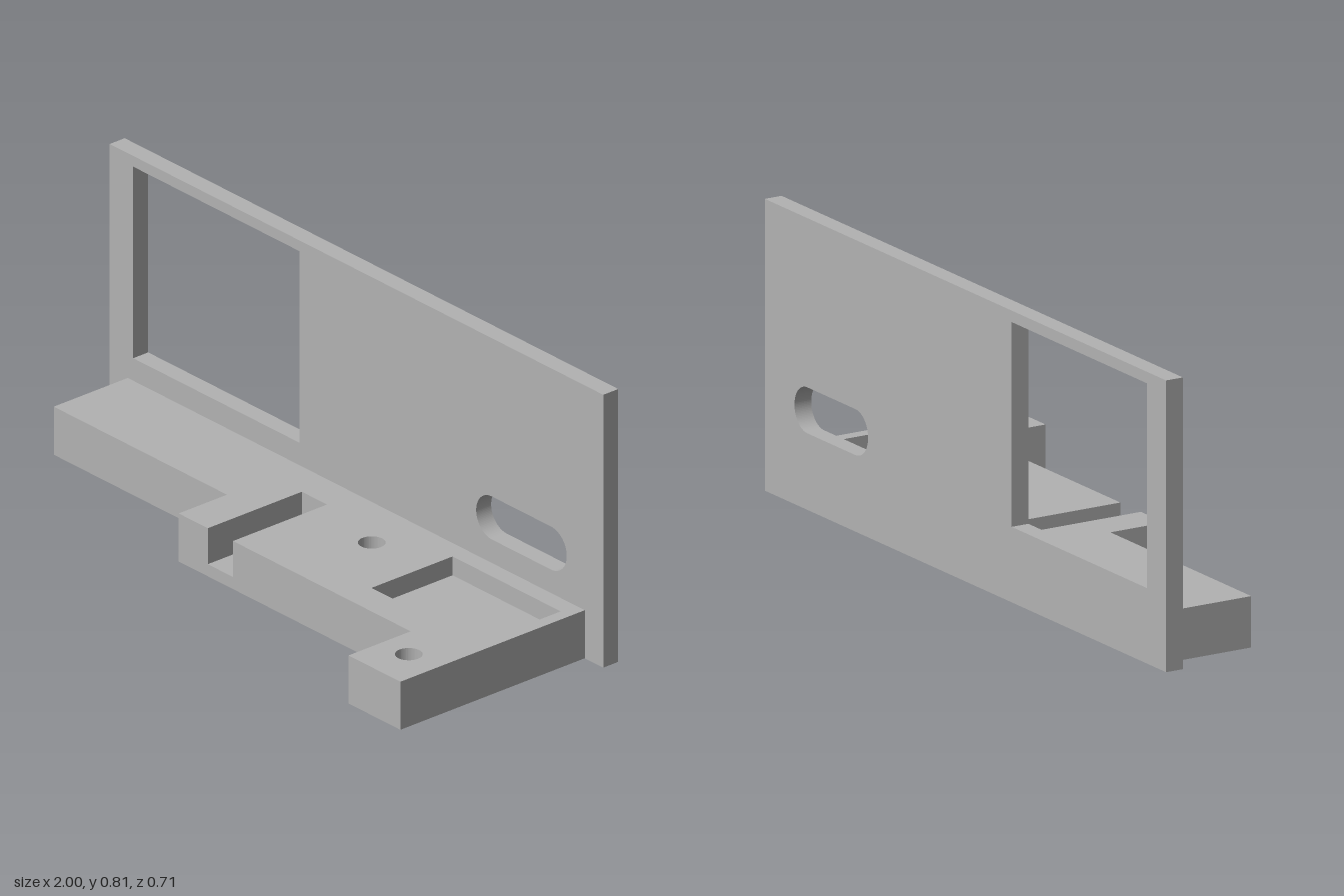
import * as THREE from 'three';

const BACK = -0.353, PLATE_FRONT = -0.3, FRONT = 0.353;

// Closed path from [x, y] points
function trace(path, points) {
  path.setFromPoints(points.map(([x, y]) => new THREE.Vector2(x, y)));
  path.closePath();
  return path;
}

const rectangle = (x0, y0, x1, y1) =>
  trace(new THREE.Path(), [[x0, y0], [x1, y0], [x1, y1], [x0, y1]]);

function circle(x, y, r) {
  const path = new THREE.Path();
  path.absarc(x, y, r, 0, Math.PI * 2, false);
  return path;
}

// Rounded slot lying along x
function roundedSlot(x0, x1, y, r) {
  const path = new THREE.Path();
  path.absarc(x1 - r, y, r, -Math.PI / 2, Math.PI / 2, false);
  path.absarc(x0 + r, y, r, Math.PI / 2, Math.PI * 1.5, false);
  path.closePath();
  return path;
}

const extrude = (shape, depth) =>
  new THREE.ExtrudeGeometry(shape, { depth, bevelEnabled: false, curveSegments: 24 });

export function createModel() {
  const group = new THREE.Group();
  const grey = new THREE.MeshStandardMaterial({ color: 0xb2b2b2 });
  grey.name = 'plain grey';

  const add = (name, geometry) => {
    const mesh = new THREE.Mesh(geometry, grey);
    mesh.name = name;
    group.add(mesh);
  };

  // Upright panel with a square window and a rounded slot
  const panel = trace(new THREE.Shape(), [[-1, 0], [1, 0], [1, 0.812], [-1, 0.812]]);
  panel.holes.push(
    rectangle(-0.905, 0.21, -0.23, 0.78),
    roundedSlot(0.485, 0.852, 0.277, 0.064)
  );
  add('uprightPanel', extrude(panel, PLATE_FRONT - BACK).translate(0, 0, BACK));

  // Stepped base, stacked in layers so the channel and pocket keep their floors
  const layers = [
    { name: 'baseFloor', y0: 0, y1: 0.036, channel: false, pocket: false },
    { name: 'baseMiddle', y0: 0.036, y1: 0.087, channel: true, pocket: false },
    { name: 'baseTop', y0: 0.087, y1: 0.143, channel: true, pocket: true }
  ];
  // Channel open at the front edge
  const channelCut = [[-0.107, -0.133], [-0.107, 0.2], [-0.005, 0.2], [-0.005, -0.133]];

  for (const { name, y0, y1, channel, pocket } of layers) {
    // Plan outline, drawn with y = -z
    const outline = trace(new THREE.Shape(), [
      [-0.927, -PLATE_FRONT], [-0.927, 0.038], [-0.225, 0.038], [-0.225, -0.133],
      ...(channel ? channelCut : []),
      [0.715, -0.133], [0.715, -FRONT], [0.925, -FRONT], [0.925, -PLATE_FRONT]
    ]);
    // Screw holes run right through
    outline.holes.push(circle(0.245, 0.14, 0.037), circle(0.815, -0.227, 0.037));
    if (pocket) outline.holes.push(rectangle(0.45, -0.04, 0.888, 0.247));
    add(name, extrude(outline, y1 - y0).rotateX(-Math.PI / 2).translate(0, y0, 0));
  }

  return group;
}
